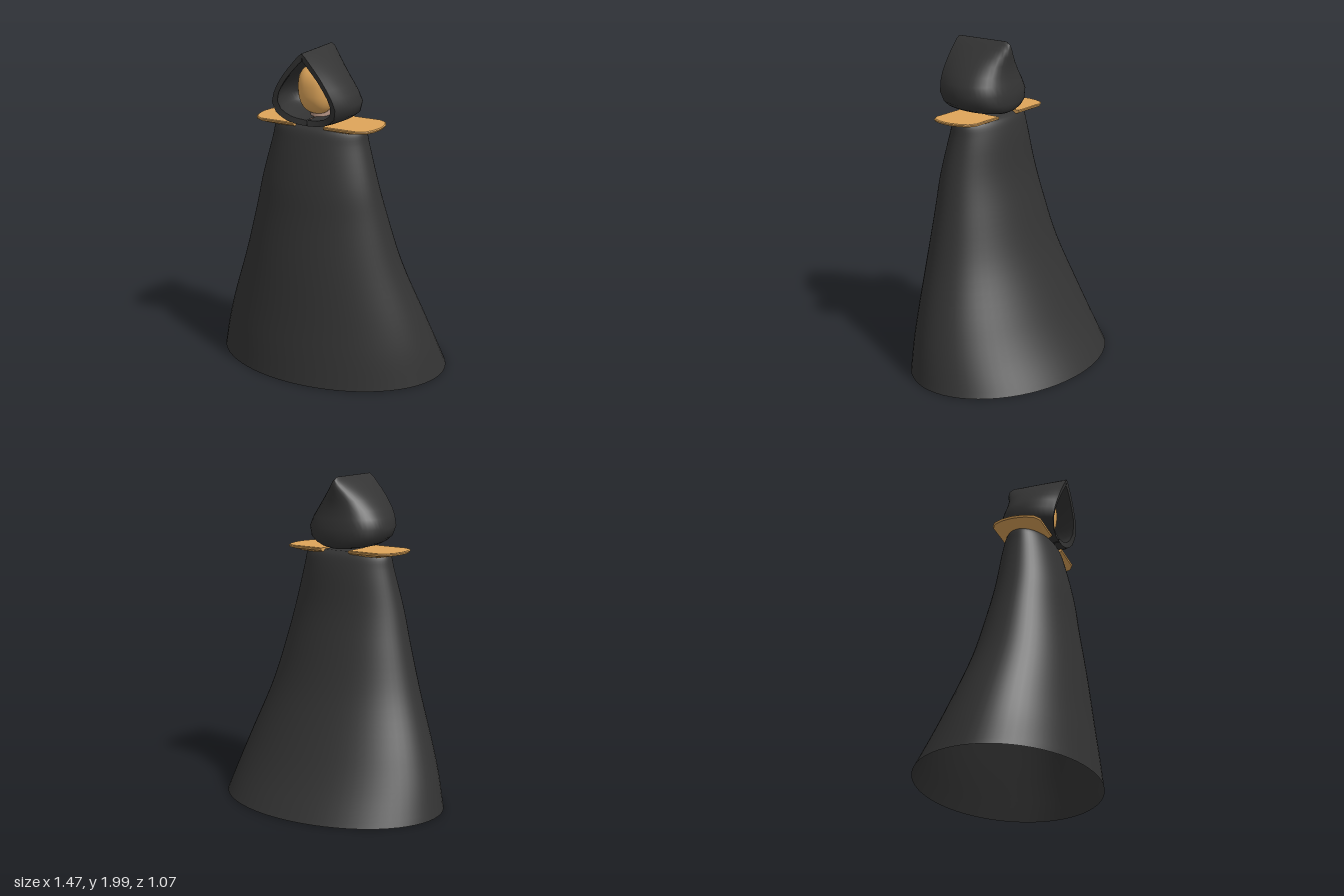
import * as THREE from 'three';
import { toCreasedNormals } from 'three/addons/utils/BufferGeometryUtils.js';

const cloth = new THREE.MeshStandardMaterial({ color: 0x333333, side: THREE.DoubleSide });
const gold = new THREE.MeshStandardMaterial({ color: 0xdea55a, side: THREE.DoubleSide });
const skin = new THREE.MeshStandardMaterial({ color: 0xb09080 });

// Skins a stack of closed rings, each a list of [x, y, z]
function loft(rings) {
  const n = rings[0].length, index = [];
  for (let i = 0; i < rings.length - 1; i++) {
    for (let j = 0; j < n; j++) {
      const a = i * n + j, b = i * n + (j + 1) % n;
      index.push(a, a + n, b, b, a + n, b + n);
    }
  }
  const geometry = new THREE.BufferGeometry();
  geometry.setAttribute('position', new THREE.Float32BufferAttribute(rings.flat(2), 3));
  geometry.setIndex(index);
  geometry.computeVertexNormals();
  return geometry;
}

function add(parent, name, geometry, material) {
  const mesh = new THREE.Mesh(geometry, material);
  mesh.name = name;
  parent.add(mesh);
  return mesh;
}

// Smoothly resamples rows of [y, a, b]
function smooth(rows, count) {
  return new THREE.CatmullRomCurve3(rows.map(r => new THREE.Vector3(...r)), false, 'centripetal')
    .getPoints(count);
}

// Flared robe, trailing towards the back, open underneath
function cloakGeometry() {
  const side = [[0.01, 0.735], [0.2, 0.685], [0.37, 0.63], [0.7, 0.51], [1, 0.425],
    [1.2, 0.375], [1.45, 0.31], [1.53, 0.293], [1.556, 0.27]];
  const depth = [[0.535, -0.53], [0.515, -0.42], [0.495, -0.335], [0.46, -0.195], [0.42, -0.105],
    [0.395, -0.055], [0.34, -0.012], [0.312, 0.015], [0.28, 0.045]];
  const across = smooth(side.map(([y, w]) => [y, w, 0]), 40);
  const along = smooth(side.map(([y], i) => [y, ...depth[i]]), 40);
  const widthAt = y => {
    const k = Math.max(1, across.findIndex(p => p.x >= y - 1e-9));
    const a = across[k - 1], b = across[k];
    return THREE.MathUtils.mapLinear(y, a.x, b.x, a.y, b.y);
  };
  const rings = along.map(({ x: y, y: front, z: back }) => {
    const w = widthAt(y);
    return Array.from({ length: 64 }, (_, j) => {
      const t = j / 64 * Math.PI * 2;
      return [w * Math.cos(t), y, (front + back) / 2 + (front - back) / 2 * Math.sin(t)];
    });
  });
  rings.push(rings.at(-1).map(() => [0, 1.558, 0.165]));
  return toCreasedNormals(loft(rings), 0.7);
}

// Pointed hood: U-shaped plan at each height, doubled by an inner lining
function hoodGeometry() {
  const rows = [
    // y, half width, front z, back z
    [1.562, 0.004, 0.33, 0.06], [1.567, 0.09, 0.332, 0.03], [1.58, 0.155, 0.338, 0.005],
    [1.6, 0.2, 0.345, -0.01], [1.63, 0.241, 0.355, -0.018], [1.69, 0.26, 0.372, -0.017],
    [1.75, 0.238, 0.382, -0.003], [1.8, 0.206, 0.388, 0.008], [1.86, 0.157, 0.39, 0.01],
    [1.91, 0.107, 0.391, 0.003], [1.95, 0.063, 0.391, -0.002], [1.98, 0.03, 0.39, 0.002],
    [2, 0.001, 0.387, 0.03]];
  const half = [[0.8, 1], [0.95, 0.76], [1, 0.5], [0.9, 0.25], [0.58, 0.06], [0, 0]];
  const plan = new THREE.SplineCurve(
    [...half, ...half.slice(0, -1).reverse().map(([x, z]) => [-x, z])]
      .map(p => new THREE.Vector2(...p))).getPoints(36);
  const rings = rows.map(([y, w, front, back]) => {
    const outer = plan.map(p => [p.x * w, y, back + (front - back) * p.y]);
    const inner = plan.map(p => [p.x * w * 0.84, 1.75 + (y - 1.75) * 0.82,
      back + 0.03 + (front - back - 0.035) * p.y]);
    return [...outer, ...inner.reverse()];
  });
  return toCreasedNormals(loft(rings), 0.9);
}

// Shoulder plate: flat top, rounded outer end, underside tapering in
function plateGeometry() {
  const half = [[0.1, 0.153], [0.32, 0.153], [0.365, 0.128], [0.39, 0.075], [0.4, 0.02]];
  const outline = [...half.map(([x, z]) => [x, -z]), ...half.slice().reverse()];
  const ring = (y, s) => outline.map(([x, z]) => [0.1 + (x - 0.1) * s, y, 0.163 + z * s]);
  return toCreasedNormals(loft([ring(1.566, 0), ring(1.566, 0.98), ring(1.561, 1),
    ring(1.55, 0.98), ring(1.533, 0.72), ring(1.533, 0)]), 0.6);
}

// Face mask: an ellipsoid squared off a little, narrower at the chin
function maskGeometry() {
  const geometry = new THREE.SphereGeometry(1, 32, 24);
  const p = geometry.attributes.position;
  const square = v => Math.sign(v) * Math.abs(v) ** 0.8;
  for (let i = 0; i < p.count; i++) {
    const y = p.getY(i), taper = 1 + 0.08 * y;
    p.setXYZ(i, square(p.getX(i)) * 0.112 * taper, square(y) * 0.146, p.getZ(i) * 0.11 * taper);
  }
  geometry.computeVertexNormals();
  return geometry;
}

export function createModel() {
  const model = new THREE.Group();
  model.name = 'hoodedFigure';

  add(model, 'cloak', cloakGeometry(), cloth);
  add(model, 'hood', hoodGeometry(), cloth);

  const plate = plateGeometry();
  add(model, 'leftShoulderPlate', plate, gold);
  add(model, 'rightShoulderPlate', plate, gold).scale.x = -1;

  // Head inside the hood
  const head = new THREE.Group();
  head.name = 'head';
  model.add(head);
  add(head, 'mask', maskGeometry(), gold).position.set(0, 1.757, 0.2);
  const skull = add(head, 'skull', new THREE.SphereGeometry(1, 24, 16), skin);
  skull.scale.set(0.1, 0.135, 0.1);
  skull.position.set(0, 1.79, 0.16);
  add(head, 'neck', new THREE.CylinderGeometry(0.055, 0.06, 0.12, 20), skin)
    .position.set(0, 1.63, 0.17);

  return model;
}
